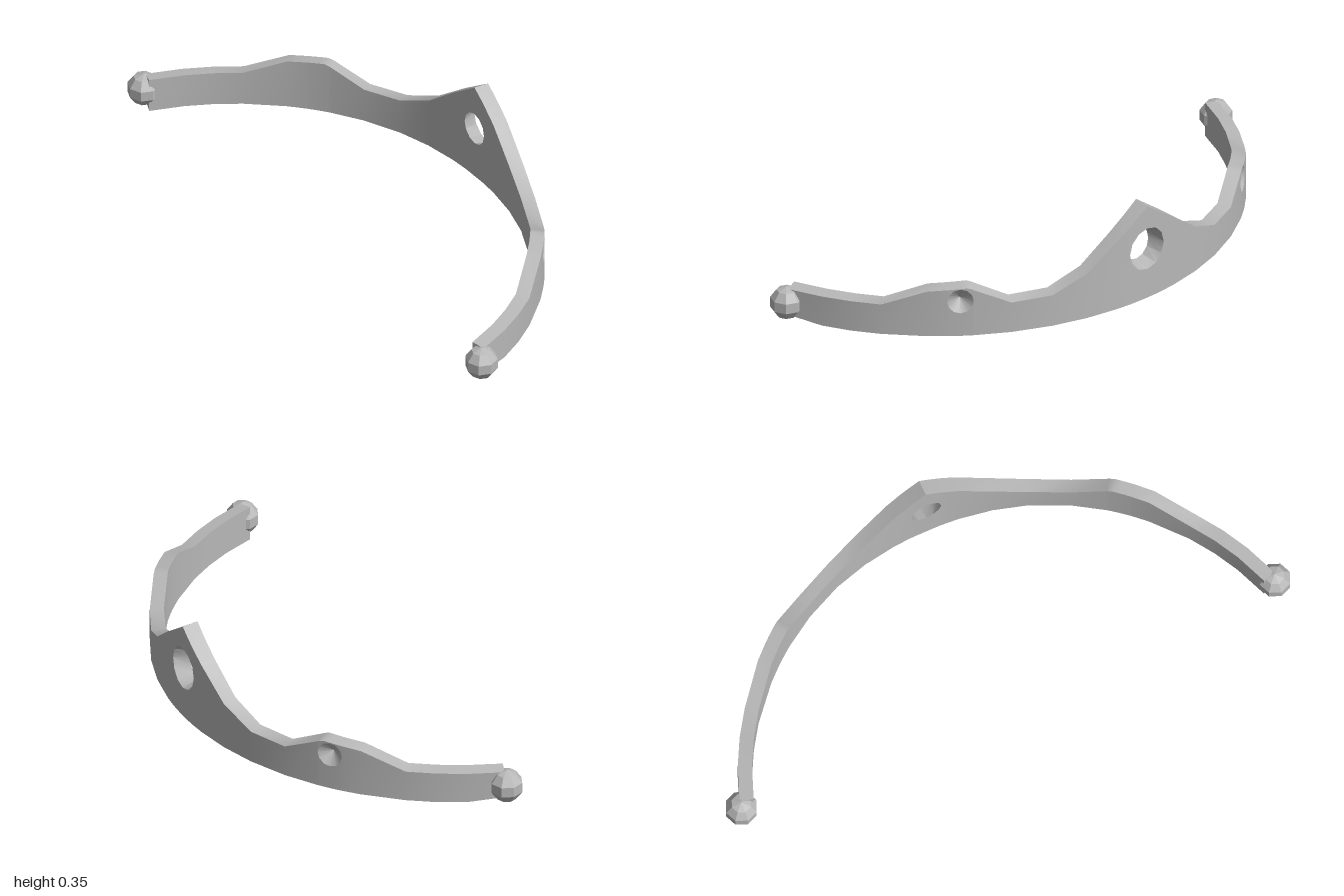
import * as THREE from 'three';
import { toCreasedNormals } from 'three/addons/utils/BufferGeometryUtils.js';

const OUTER = 0.997, CENTRE_Z = 0.625, END = 1.252;

// Height of the top edge against the angle from the middle of the arc
const PROFILE = [
  [0, 0.347], [0.12, 0.264], [0.24, 0.176], [0.365, 0.125], [0.505, 0.121],
  [0.645, 0.186], [0.78, 0.176], [0.93, 0.121], [1.03, 0.121], [1.13, 0.121], [END, 0.121],
];

// Central through hole (flared to the outside) and two blind conical sockets
const HOLES = [
  { at: -0.672, y: 0.133, r: 0.043, socket: true },
  { at: 0, y: 0.186, r: 0.074, inner: 0.057 },
  { at: 0.672, y: 0.133, r: 0.043, socket: true },
];

function topHeight(angle) {
  const a = Math.min(Math.abs(angle), END);
  let i = 1;
  while (i < PROFILE.length - 1 && PROFILE[i][0] < a) i++;
  const [a0, y0] = PROFILE[i - 1], [a1, y1] = PROFILE[i];
  return THREE.MathUtils.mapLinear(a, a0, a1, y0, y1);
}

const point = (angle, radius, y) =>
  [radius * Math.sin(angle), y, CENTRE_Z - radius * Math.cos(angle)];

// Upright cross-sections from one end of the arc to the other
function makeColumns() {
  const columns = [];
  const add = (outA, inA, hole, outHalf = 0, inHalf = 0) => {
    const inR = 0.951 - 0.008 * Math.max(0, 1 - Math.abs(inA) / 0.4);
    const lift = 0.008 + 0.014 * THREE.MathUtils.smoothstep(Math.abs(outA), 1.1, END);
    const out = (y) => point(outA, OUTER, y);
    const inn = (y) => point(inA, inR, y);
    columns.push({
      angle: outA, hole,
      outBottom: out(lift), outTop: out(topHeight(outA) - 0.006),
      inBottom: inn(0), inTop: inn(topHeight(inA)),
      outLow: hole && out(hole.y - outHalf), outHigh: hole && out(hole.y + outHalf),
      inLow: hole && inn(hole.y - inHalf), inHigh: hole && inn(hole.y + inHalf),
    });
  };
  const knots = PROFILE.flatMap(([a]) => (a ? [a, -a] : [a]));
  for (const a of knots) {
    if (!HOLES.some((h) => Math.abs(a - h.at) <= h.r / OUTER + 0.005)) add(a, a);
  }
  for (const h of HOLES) {
    const innerR = h.inner ?? h.r;
    for (let k = 0; k <= 6; k++) {
      const c = -Math.cos(k * Math.PI / 6), s = Math.sin(k * Math.PI / 6);
      add(h.at + c * h.r / OUTER, h.at + c * innerR / OUTER, h, s * h.r, s * innerR);
    }
  }
  return columns.sort((p, q) => p.angle - q.angle);
}

function bandGeometry() {
  const pos = [];
  const tri = (a, b, c) => pos.push(...a, ...b, ...c);
  const quad = (a, b, c, d) => { tri(a, b, c); tri(a, c, d); };
  const columns = makeColumns();

  for (let i = 0; i < columns.length - 1; i++) {
    const p = columns[i], q = columns[i + 1];
    const hole = p.hole && p.hole === q.hole ? p.hole : null;
    // top and bottom edges
    quad(p.inTop, q.inTop, q.outTop, p.outTop);
    quad(p.outBottom, q.outBottom, q.inBottom, p.inBottom);
    // outer face
    if (hole) {
      quad(p.outLow, q.outLow, q.outBottom, p.outBottom);
      quad(p.outTop, q.outTop, q.outHigh, p.outHigh);
    } else quad(p.outTop, q.outTop, q.outBottom, p.outBottom);
    // inner face
    if (hole && !hole.socket) {
      quad(p.inBottom, q.inBottom, q.inLow, p.inLow);
      quad(p.inHigh, q.inHigh, q.inTop, p.inTop);
      // hole walls
      quad(p.inLow, q.inLow, q.outLow, p.outLow);
      quad(p.outHigh, q.outHigh, q.inHigh, p.inHigh);
    } else quad(p.inBottom, q.inBottom, q.inTop, p.inTop);
    // socket cone
    if (hole && hole.socket) {
      const apex = point(hole.at, OUTER - 0.034, hole.y);
      tri(apex, q.outLow, p.outLow);
      tri(apex, p.outHigh, q.outHigh);
    }
  }
  // end caps
  const first = columns[0], last = columns[columns.length - 1];
  quad(last.inBottom, last.outBottom, last.outTop, last.inTop);
  quad(first.inTop, first.outTop, first.outBottom, first.inBottom);

  const geometry = new THREE.BufferGeometry();
  geometry.setAttribute('position', new THREE.Float32BufferAttribute(pos, 3));
  return toCreasedNormals(geometry, 0.5);
}

export function createModel() {
  const model = new THREE.Group();
  model.name = 'tiara';
  const metal = new THREE.MeshStandardMaterial({ color: 0xb8b8b8 });
  metal.name = 'grey metal';

  const band = new THREE.Mesh(bandGeometry(), metal);
  band.name = 'band';
  model.add(band);

  // Faceted knobs on both ends
  const knobGeometry = toCreasedNormals(new THREE.SphereGeometry(0.056, 8, 5), 0.1);
  for (const side of [-1, 1]) {
    const knob = new THREE.Mesh(knobGeometry, metal);
    knob.name = side > 0 ? 'leftEndKnob' : 'rightEndKnob';
    knob.position.set(side * 0.944, 0.064, 0.32);
    model.add(knob);
  }
  return model;
}
